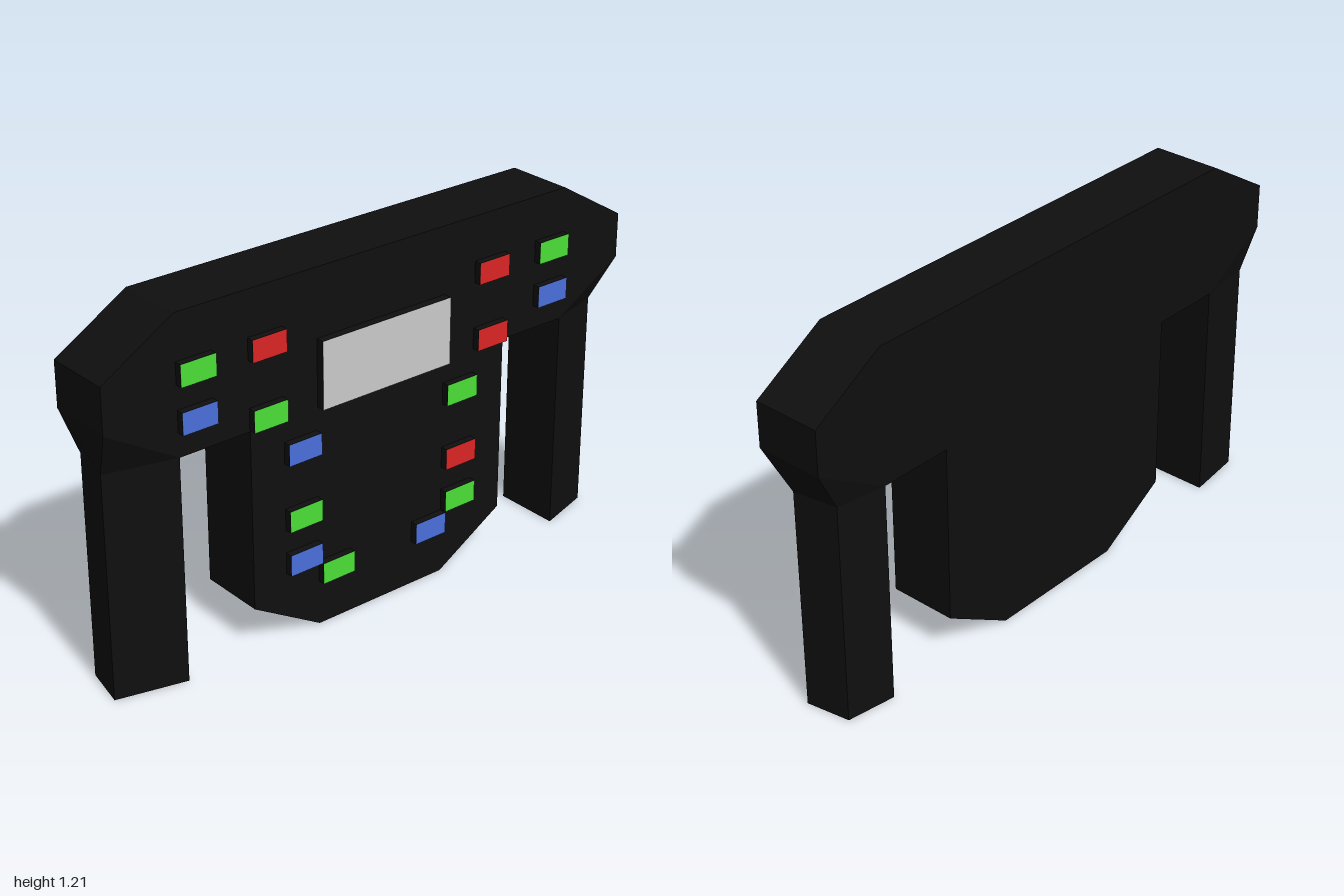
import * as THREE from 'three';
import { ConvexGeometry } from 'three/addons/geometries/ConvexGeometry.js';

const BACK = -0.13, FACE = 0.1;

const material = (color, extra = {}) => new THREE.MeshStandardMaterial({ color, ...extra });
const black = material(0x0f0f0f, { flatShading: true });
const colors = {
  green: material(0x4ce038),
  red: material(0xdc2525),
  blue: material(0x4a70dc),
  grey: material(0xcccccc),
};

function add(parent, name, geometry, mat) {
  const mesh = new THREE.Mesh(geometry, mat);
  mesh.name = name;
  parent.add(mesh);
  return mesh;
}

const hull = (points) => new ConvexGeometry(points.map((p) => new THREE.Vector3(...p)));

// Flat plate: upper bar with bevelled ends and a central hub, symmetric in z
function plateGeometry() {
  const half = [[0.25, 0], [0.5, 0.15], [0.5, 0.755], [0.75, 0.755], [1, 0.905], [1, 1.055], [0.75, 1.205]];
  const outline = [...half, ...half.map(([u, y]) => [-u, y]).reverse()];
  const shape = new THREE.Shape(outline.map(([u, y]) => new THREE.Vector2(u, y)));
  return new THREE.ExtrudeGeometry(shape, { depth: FACE - BACK, bevelEnabled: false })
    .rotateY(Math.PI / 2)
    .translate(BACK, 0, 0);
}

// Tapered grip hanging from one end of the bar, with the shoulder that widens into it
function grip(side, outerFront, outerBack) {
  const group = new THREE.Group();
  group.name = side > 0 ? 'frontGrip' : 'backGrip';
  const section = (y) => [
    [BACK, y, side * 0.75],
    [FACE, y, side * 0.75],
    [0.043, y, side * outerFront],
    [-0.105, y, side * outerBack],
  ];
  add(group, 'handle', hull([...section(0), ...section(0.755)]), black);
  add(group, 'shoulder', hull([...section(0.755), [BACK, 0.905, side], [FACE, 0.905, side]]), black);
  return group;
}

// Raised black block with a coloured top face
function raisedPanel(name, color, z, y, width, height, rise) {
  const group = new THREE.Group();
  group.name = name;
  add(group, 'base', new THREE.BoxGeometry(rise, height, width), black).position.x = rise / 2;
  const cap = add(group, 'cap', new THREE.PlaneGeometry(width, height), colors[color]);
  cap.rotation.y = Math.PI / 2;
  cap.position.x = rise + 0.001;
  group.position.set(FACE, y, z);
  return group;
}

export function createModel() {
  const model = new THREE.Group();
  model.name = 'steeringWheel';

  add(model, 'plate', plateGeometry(), black);
  model.add(grip(1, 0.98, 0.95), grip(-1, 0.94, 0.915));
  model.add(raisedPanel('screen', 'grey', 0, 0.867, 0.5, 0.224, 0.028));

  // Buttons: colour, z, y
  const buttons = [
    ['green', 0.69, 1.02], ['blue', 0.69, 0.87], ['red', 0.44, 1.02], ['green', 0.44, 0.795],
    ['blue', 0.315, 0.643], ['green', 0.315, 0.417], ['blue', 0.315, 0.265], ['green', 0.19, 0.19],
    ['green', -0.69, 1.02], ['blue', -0.69, 0.87], ['red', -0.435, 1.02], ['red', -0.435, 0.795],
    ['green', -0.31, 0.643], ['red', -0.31, 0.417], ['green', -0.31, 0.265], ['blue', -0.187, 0.19],
  ];
  for (const [color, z, y] of buttons) {
    model.add(raisedPanel(color + 'Button', color, z, y, 0.123, 0.072, 0.024));
  }
  return model;
}
